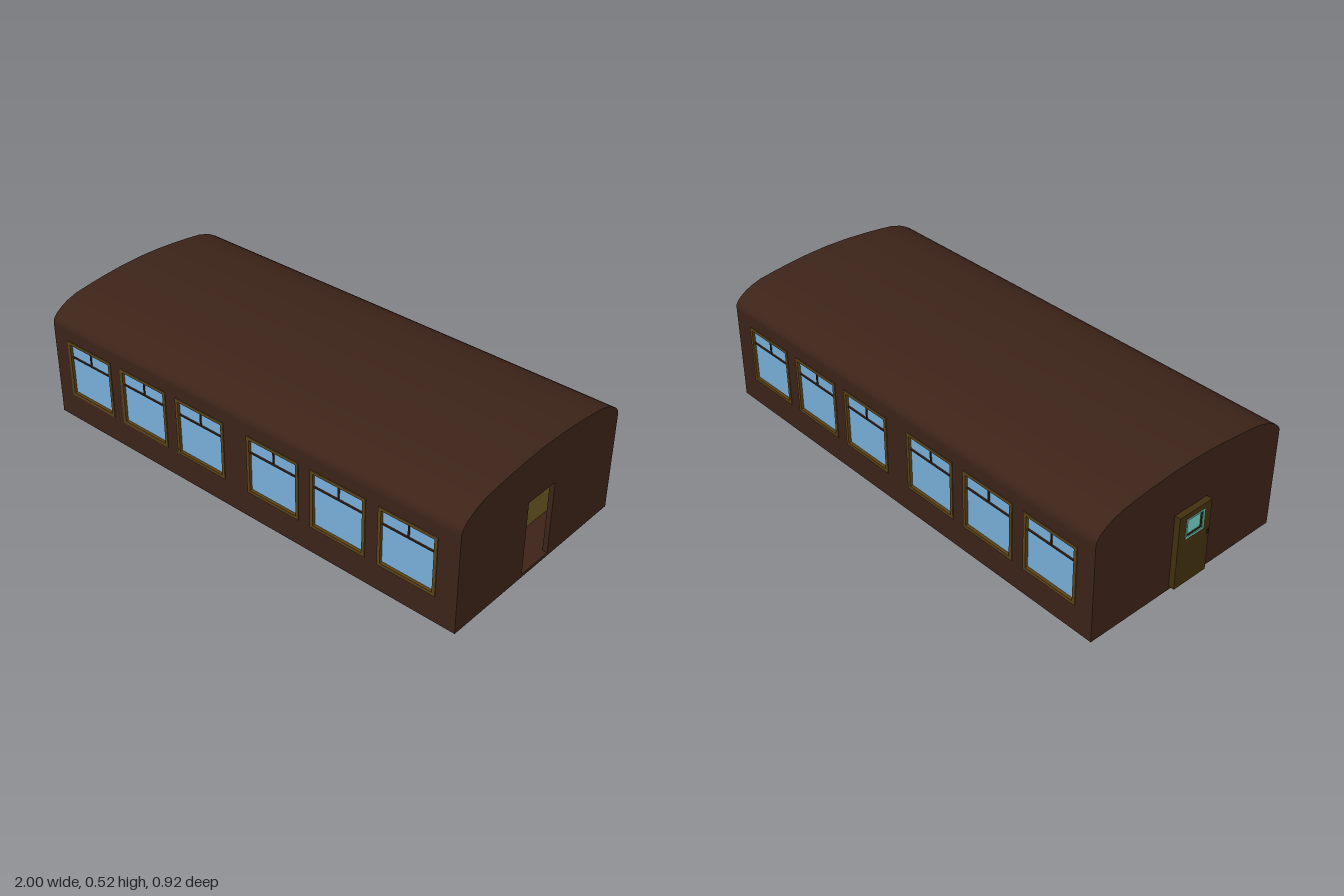
import * as THREE from 'three';
import { toCreasedNormals } from 'three/addons/utils/BufferGeometryUtils.js';

const mat = (color) => new THREE.MeshStandardMaterial({ color, side: THREE.DoubleSide });
const BODY = mat(0x3d2419), FRAME = mat(0x5c4318), DOOR = mat(0x43310f);
const GLASS = mat(0x7ab2dd), TEAL = mat(0x74d3c8), RED = mat(0xb01414), WOOD = mat(0x6b5a20);

const X0 = -0.97, X1 = 1, LEN = X1 - X0, WALL = 0.02, HALF = 0.455, EAVE = 0.405;

function add(parent, name, geometry, material, x = 0, y = 0, z = 0) {
  const mesh = new THREE.Mesh(geometry, material);
  mesh.name = name;
  mesh.position.set(x, y, z);
  parent.add(mesh);
  return mesh;
}
const box = (w, h, d) => new THREE.BoxGeometry(w, h, d);

// Closed rectangle, usable as outline or hole
function rect(x0, y0, x1, y1, Type = THREE.Shape) {
  return new Type([[x0, y0], [x1, y0], [x1, y1], [x0, y1]].map((p) => new THREE.Vector2(...p)));
}
function extrude(shape, depth) {
  return new THREE.ExtrudeGeometry(shape, { depth, bevelEnabled: false, curveSegments: 8 });
}
// Rectangular ring centred on the origin, lying in the xy plane
function ring(w, h, t, depth) {
  const s = rect(-w / 2, -h / 2, w / 2, h / 2);
  s.holes.push(rect(-w / 2 + t, -h / 2 + t, w / 2 - t, h / 2 - t, THREE.Path));
  return extrude(s, depth);
}

// Roof cross-section from one eave over the crown to the other
const ROOF = [[0.455, 0.405], [0.454, 0.418], [0.445, 0.433], [0.43, 0.447], [0.405, 0.463], [0.38, 0.475],
  [0.335, 0.489], [0.27, 0.498], [0.2, 0.506], [0.1, 0.514], [0, 0.517]];
function roofLine(inset) {
  const k = (HALF - inset) / HALF;
  const half = ROOF.map(([z, y]) => new THREE.Vector2(z * k, EAVE + (y - EAVE) * (1 - inset / 0.112)));
  return half.concat(half.slice(0, -1).reverse().map((p) => new THREE.Vector2(-p.x, p.y)));
}

const WINDOWS = [-0.77, -0.47, -0.17, 0.19, 0.49, 0.79];
const WIN_W = 0.246, WIN_Y0 = 0.11, WIN_Y1 = 0.356;

// One sash window facing +z, centred on the origin
function makeWindow() {
  const g = new THREE.Group();
  g.name = 'window';
  const h = WIN_Y1 - WIN_Y0, barY = 0.285 - (WIN_Y0 + WIN_Y1) / 2;
  add(g, 'windowFrame', ring(WIN_W, h, 0.013, 0.023), FRAME, 0, 0, -0.02);
  add(g, 'windowGlass', box(WIN_W - 0.02, h - 0.02, 0.004), GLASS, 0, 0, -0.011);
  add(g, 'windowCrossBar', box(WIN_W - 0.026, 0.006, 0.008), BODY, 0, barY, -0.008);
  add(g, 'windowTopBar', box(0.005, h / 2 - 0.013 - barY, 0.008), BODY, 0, (h / 2 - 0.013 + barY) / 2, -0.008);
  return g;
}

// Bench with a tall round-topped back, spread along z
function makeBench() {
  const g = new THREE.Group();
  g.name = 'bench';
  const w = 0.15, y0 = 0.13, y1 = 0.28, r = 0.05;
  const back = new THREE.Shape();
  back.moveTo(-w, y0);
  back.lineTo(w, y0);
  back.lineTo(w, y1 - r);
  back.quadraticCurveTo(w, y1, w - r, y1);
  back.lineTo(-w + r, y1);
  back.quadraticCurveTo(-w, y1, -w, y1 - r);
  back.closePath();
  add(g, 'benchBack', extrude(back, 0.025).rotateY(Math.PI / 2), RED, -0.0125);
  add(g, 'benchBase', box(0.025, 0.118, 0.3), WOOD, 0, 0.071);
  add(g, 'benchSeat', box(0.1, 0.03, 0.3), RED, -0.0625, 0.115);
  add(g, 'benchFront', box(0.02, 0.088, 0.28), WOOD, -0.09, 0.056);
  return g;
}

export function createModel() {
  const model = new THREE.Group();
  model.name = 'carriage';

  // Floor
  add(model, 'floor', box(LEN, 0.012, 2 * (HALF - WALL)), BODY, (X0 + X1) / 2, 0.006);

  // Side walls pierced by the windows
  const side = rect(X0, 0, X1, EAVE);
  for (const x of WINDOWS) {
    side.holes.push(rect(x - WIN_W / 2, WIN_Y0, x + WIN_W / 2, WIN_Y1, THREE.Path));
  }
  const sideGeo = extrude(side, WALL);
  add(model, 'frontWall', sideGeo, BODY, 0, 0, HALF - WALL);
  add(model, 'backWall', sideGeo, BODY, 0, 0, -HALF);

  // Curved roof shell
  const shell = new THREE.Shape([...roofLine(0), ...roofLine(WALL).reverse()]);
  const roofGeo = toCreasedNormals(extrude(shell, LEN).rotateY(Math.PI / 2), 0.6);
  add(model, 'roof', roofGeo, BODY, X0);

  // End walls, each with a doorway
  const inner = HALF - WALL;
  const end = new THREE.Shape([new THREE.Vector2(-inner, 0), new THREE.Vector2(inner, 0), ...roofLine(WALL)]);
  end.holes.push(rect(-0.077, 0.013, 0.077, 0.32, THREE.Path));
  const endGeo = extrude(end, WALL).rotateY(Math.PI / 2);
  add(model, 'leftEndWall', endGeo, BODY, X1 - WALL);
  add(model, 'rightEndWall', endGeo, BODY, X0);

  // Windows on both sides
  for (const s of [1, -1]) {
    for (const x of WINDOWS) {
      const w = makeWindow();
      w.position.set(x, (WIN_Y0 + WIN_Y1) / 2, s * HALF);
      if (s < 0) w.rotation.y = Math.PI;
      model.add(w);
    }
  }

  // Door hung on the outside of the right end
  const door = new THREE.Group();
  door.name = 'door';
  door.position.x = -0.985;
  const leaf = rect(-0.08, 0.018, 0.08, 0.325);
  leaf.holes.push(rect(-0.045, 0.22, 0.045, 0.303, THREE.Path));
  add(door, 'doorLeaf', extrude(leaf, 0.024).rotateY(Math.PI / 2), DOOR, -0.011);
  add(door, 'doorGlass', box(0.006, 0.075, 0.082), TEAL, 0, 0.2615);
  for (const s of [1, -1]) {
    add(door, 'doorGlassFrame', ring(0.09, 0.083, 0.006, 0.004).rotateY(Math.PI / 2), TEAL, s * 0.011 - 0.002, 0.2615);
    add(door, 'doorGlassBead', ring(0.078, 0.071, 0.004, 0.004).rotateY(Math.PI / 2), DOOR, s * 0.006 - 0.002, 0.2615);
    add(door, 'doorHandle', box(0.006, 0.022, 0.005), BODY, s * 0.012, 0.193, 0.07);
  }
  model.add(door);

  // Benches on both sides of the aisle
  for (const s of [1, -1]) {
    for (const x of WINDOWS) {
      const b = makeBench();
      b.position.set(x + 0.06, 0, s * 0.27);
      model.add(b);
    }
  }
  return model;
}
